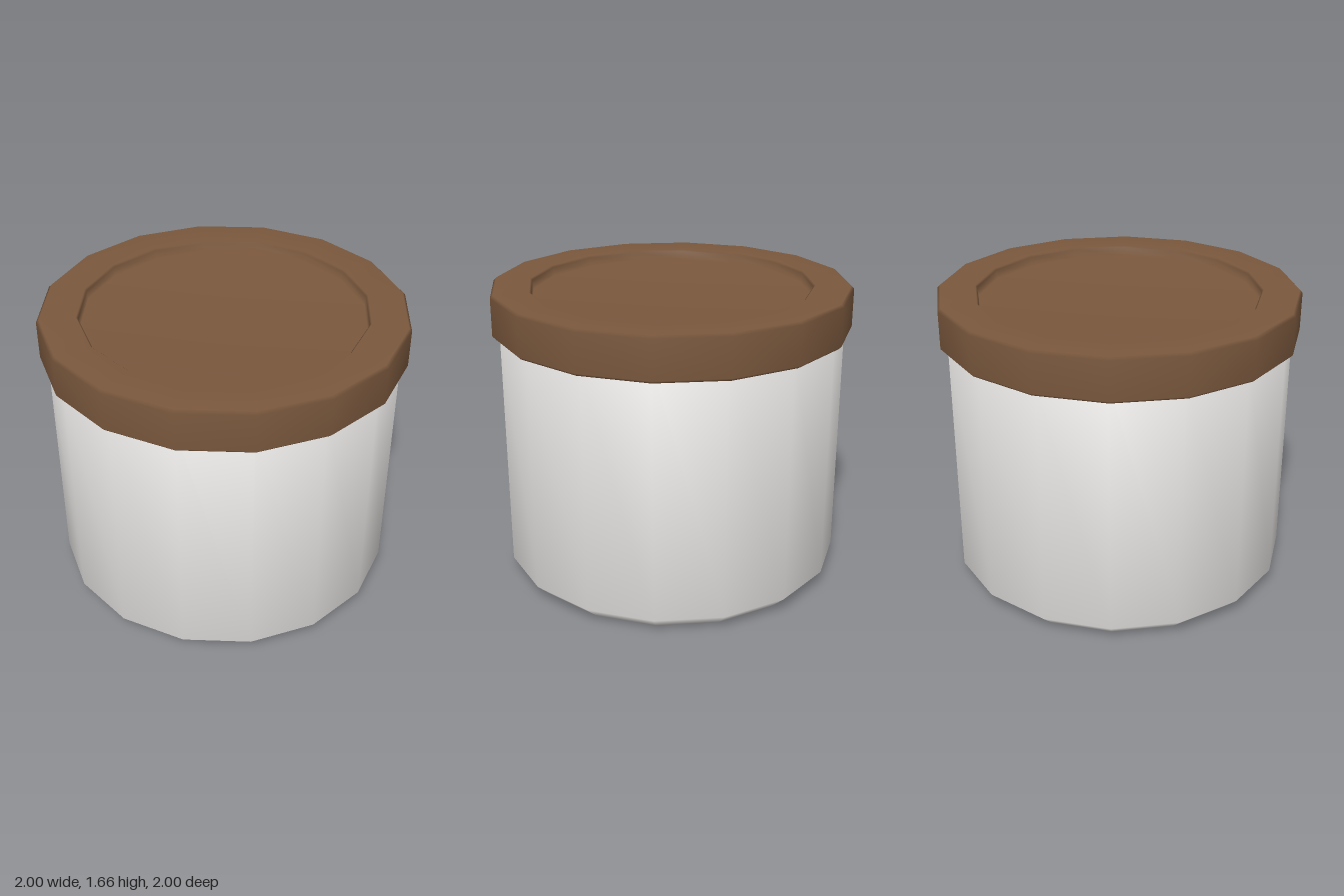
import * as THREE from 'three';

const SIDES = 16;

// Turn a [radius, height] profile, listed from bottom centre to top centre
function turned(name, profile, material) {
  const points = profile.map(([r, y]) => new THREE.Vector2(r, y));
  const mesh = new THREE.Mesh(new THREE.LatheGeometry(points, SIDES), material);
  mesh.name = name;
  return mesh;
}

export function createModel() {
  const ceramic = new THREE.MeshStandardMaterial({ color: 0xd9d7d5 });
  ceramic.name = 'pale grey ceramic';
  const wood = new THREE.MeshStandardMaterial({ color: 0x7a583d });
  wood.name = 'brown wood';

  const model = new THREE.Group();
  model.name = 'jar';

  // Jar body with a chamfered foot; its top is hidden inside the lid
  model.add(turned('jarBody', [
    [0, 0], [0.87, 0], [0.96, 0.085], [0.96, 1.5], [0, 1.5],
  ], ceramic));

  // Lid with small bevels and a shallow round recess on top
  model.add(turned('lid', [
    [0, 1.42], [0.985, 1.42], [1, 1.435], [1, 1.645], [0.985, 1.66],
    [0.79, 1.66], [0.78, 1.65], [0.775, 1.6], [0, 1.6],
  ], wood));

  return model;
}
